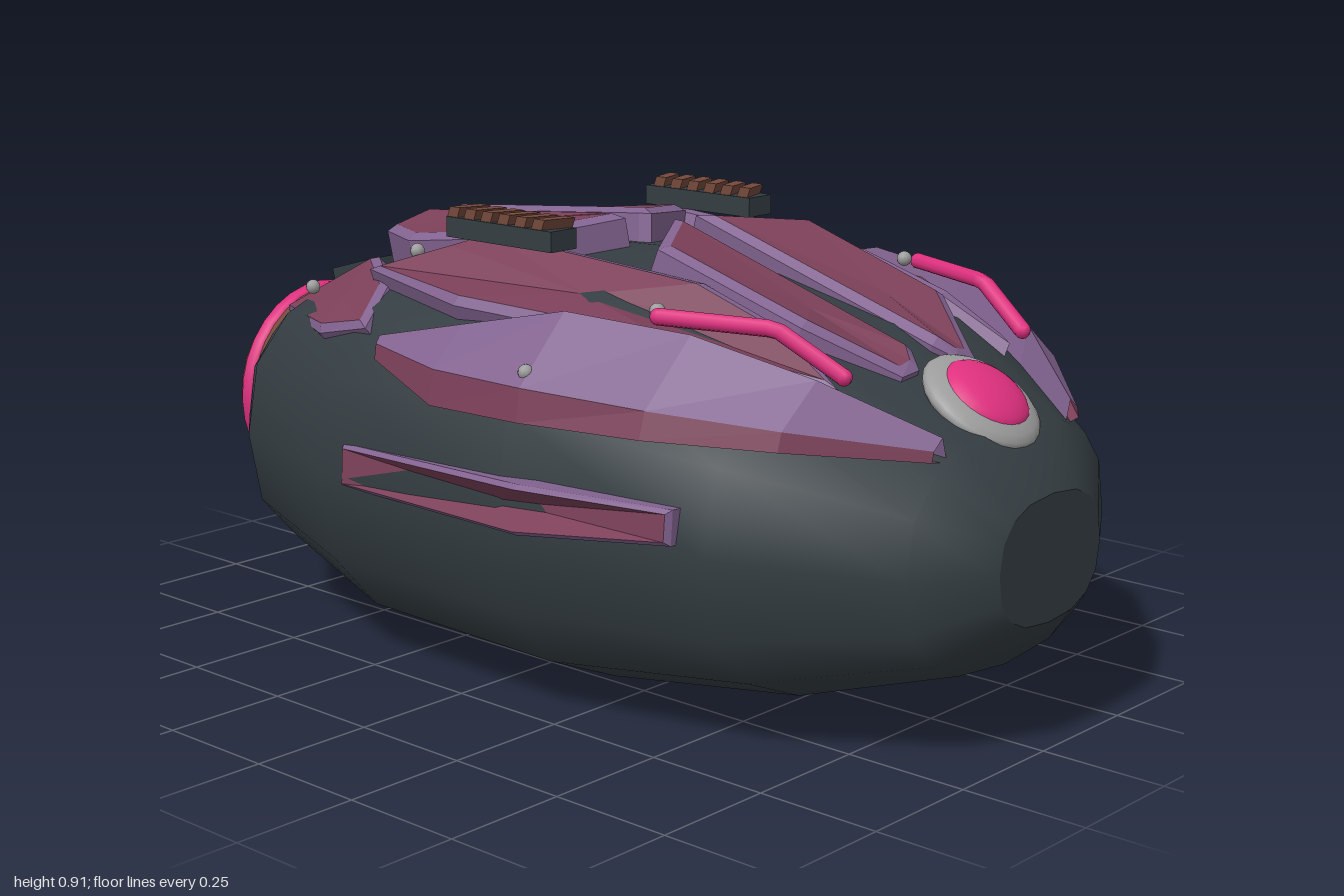
import * as THREE from 'three';

const mat = (name, color, side = THREE.FrontSide) => {
  const m = new THREE.MeshStandardMaterial({ color, side });
  m.name = name;
  return m;
};
const V = (p) => new THREE.Vector3(...p);

// Surface through rows of points; optional closed rows and smooth normals
function loft(rows, closed = false, smooth = false) {
  const n = rows[0].length, index = [];
  for (let r = 0; r < rows.length - 1; r++) {
    for (let c = 0; c < (closed ? n : n - 1); c++) {
      const d = (c + 1) % n, a = r * n + c, b = r * n + d;
      index.push(a, b, b + n, a, b + n, a + n);
    }
  }
  let g = new THREE.BufferGeometry();
  g.setAttribute('position', new THREE.Float32BufferAttribute(rows.flat().flatMap((v) => v.toArray()), 3));
  g.setIndex(index);
  if (!smooth) g = g.toNonIndexed();
  g.computeVertexNormals();
  return g;
}

// Centre point of a ring
const middle = (ring) => ring.reduce((s, p) => s.add(p), new THREE.Vector3()).divideScalar(ring.length);

// Flat fan that closes a ring of points
function fan(ring) {
  const mid = middle(ring);
  return loft([ring, ring.map(() => mid)], true);
}

// Copy a geometry to the other side, keeping faces outward
function mirrored(geometry) {
  const g = geometry.index ? geometry.toNonIndexed() : geometry.clone();
  for (const key of ['position', 'normal']) {
    const a = g.attributes[key], src = a.clone();
    for (let i = 0; i < a.count; i++) {
      const j = i % 3 === 0 ? i : i % 3 === 1 ? i + 1 : i - 1;
      a.setXYZ(i, src.getX(j), src.getY(j), -src.getZ(j));
    }
  }
  return g;
}

// Armour plate: side walls, bevel and an inset top face
function plateParts(points, thickness, inset) {
  const ring = points.map(V);
  const mid = middle(ring);
  const normal = new THREE.Vector3();
  ring.forEach((p, i) => {
    normal.add(p.clone().sub(mid).cross(ring[(i + 1) % ring.length].clone().sub(mid)));
  });
  normal.normalize();
  if (normal.dot(mid.clone().sub(V([mid.x, 0.4, 0]))) < 0) {
    ring.reverse();
    normal.negate();
  }
  const n = ring.length;
  const inward = (a, b) => normal.clone().cross(b.clone().sub(a)).normalize();
  const top = ring.map((p, i) => {
    const n1 = inward(ring[(i + n - 1) % n], p), n2 = inward(p, ring[(i + 1) % n]);
    const k = inset / Math.max(0.5, 1 + n1.dot(n2));
    return p.clone().addScaledVector(n1.add(n2), k);
  });
  const lowered = (d) => ring.map((p) => p.clone().addScaledVector(normal, -d));
  return { edge: loft([lowered(thickness), lowered(0.012), top], true), face: fan(top) };
}

export function createModel() {
  const hull = mat('charcoal hull', 0x343d42);
  const maroon = mat('maroon armour', 0x7c4059, THREE.DoubleSide);
  const purple = mat('purple trim', 0x826390, THREE.DoubleSide);
  const pink = mat('pink glow', 0xdf307f);
  const brown = mat('brown metal', 0x75493b, THREE.DoubleSide);
  const grey = mat('grey metal', 0x9c9c9c, THREE.DoubleSide);

  const model = new THREE.Group();
  model.name = 'armouredPod';
  const add = (name, geometry, material) => {
    const m = new THREE.Mesh(geometry, material);
    m.name = name;
    model.add(m);
    return m;
  };
  const addPair = (name, geometry, material) => {
    add(name + 'Left', geometry, material);
    add(name + 'Right', mirrored(geometry), material);
  };

  // Hull: 16-sided rounded sections [x, centre y, half height, half width]
  const sections = [
    [-0.88, 0.385, 0.215, 0.29], [-0.66, 0.405, 0.315, 0.47], [-0.31, 0.41, 0.402, 0.58],
    [0.2, 0.418, 0.413, 0.6], [0.62, 0.4, 0.34, 0.505], [0.91, 0.375, 0.225, 0.31], [1, 0.37, 0.12, 0.16],
  ];
  const pow = (v) => Math.sign(v) * Math.abs(v) ** 0.8;
  const rings = sections.map(([x, cy, hy, hz]) => Array.from({ length: 16 }, (_, i) => {
    const t = (i / 16) * Math.PI * 2;
    return V([x, cy + hy * pow(Math.cos(t)), hz * pow(Math.sin(t))]);
  }));
  add('hull', loft(rings, true, true), hull);
  add('noseCap', fan(rings[6]), hull);
  add('tailCap', fan([...rings[0]].reverse()), hull);
  const ridgeBar = add('rearRidge', new THREE.BoxGeometry(0.13, 0.03, 0.38), hull);
  ridgeBar.position.set(-0.64, 0.715, 0);
  ridgeBar.rotation.z = 0.28;

  // Exhaust: collar, glowing band and inner lip, turned about the x axis
  const turned = (name, pts, material) => {
    const g = new THREE.LatheGeometry(pts.map((p) => new THREE.Vector2(...p)), 32);
    add(name, g.rotateZ(Math.PI / 2).translate(0, 0.39, 0), material);
  };
  turned('exhaustCollar', [[0.23, 0.8], [0.23, 0.97], [0.215, 1]], brown);
  turned('exhaustBand', [[0.225, 0.94], [0.238, 0.945], [0.238, 0.97], [0.225, 0.975]], pink);
  turned('exhaustLip', [[0.215, 1], [0.185, 1], [0.16, 0.97], [0.15, 0.88]], grey);

  // Sensor eye on the sloping nose
  const eye = new THREE.Group();
  eye.name = 'sensorEye';
  eye.position.set(0.84, 0.63, 0);
  eye.rotation.z = -0.6;
  for (const [name, r, h, y, m] of [['eyeRim', 0.12, 0.035, 0, grey], ['eyeLens', 0.088, 0.035, 0.015, pink]]) {
    const s = new THREE.Mesh(new THREE.SphereGeometry(r, 24, 12), m);
    s.name = name;
    s.scale.y = h / r;
    s.position.y = y;
    eye.add(s);
  }
  model.add(eye);

  // Armour plates, each as an outline on the left side: name, thickness, inset, points
  const plates = [
    ['rearTopPlate', 0.09, 0.02, [[-0.57, 0.84, 0.03], [-0.57, 0.815, 0.155], [-0.4, 0.825, 0.25],
      [-0.08, 0.865, 0.24], [0.005, 0.89, 0.04], [-0.02, 0.89, 0.03]]],
    ['frontTopPlate', 0.09, 0.02, [[0.135, 0.9, 0.03], [0.265, 0.88, 0.225], [0.6, 0.775, 0.215],
      [0.75, 0.69, 0.11], [0.75, 0.695, 0.06], [0.71, 0.72, 0.03]]],
    ['shoulderPlate', 0.08, 0.018, [[-0.375, 0.785, 0.38], [-0.05, 0.765, 0.46], [0.42, 0.745, 0.41],
      [0.72, 0.69, 0.27], [0.58, 0.77, 0.24], [0.38, 0.83, 0.235], [-0.155, 0.865, 0.245], [-0.22, 0.84, 0.3]]],
    ['rearSidePlate', 0.07, 0.016, [[-0.765, 0.635, 0.275], [-0.43, 0.66, 0.475], [-0.27, 0.695, 0.495],
      [-0.33, 0.76, 0.375], [-0.465, 0.785, 0.28]]],
    ['sideStrip', 0.09, 0.008, [[-0.245, 0.39, 0.585], [0.28, 0.405, 0.635], [0.565, 0.42, 0.54],
      [0.565, 0.485, 0.535], [0.28, 0.498, 0.63], [-0.245, 0.475, 0.58]]],
  ];
  for (const [name, thickness, inset, pts] of plates) {
    const { edge, face } = plateParts(pts, thickness, inset);
    addPair(name + 'Edge', edge, purple);
    addPair(name + 'Face', face, maroon);
  }

  // Folded flank guard: bottom edge, fold and ridge along the hull
  const xs = [-0.2, 0.02, 0.25, 0.5, 0.72, 0.9];
  const row = (yz) => yz.map(([y, z], i) => V([xs[i], y, z]));
  const bottom = row([[0.64, 0.525], [0.595, 0.588], [0.6, 0.592], [0.6, 0.54], [0.595, 0.43], [0.57, 0.23]]);
  const fold = row([[0.67, 0.52], [0.662, 0.578], [0.662, 0.582], [0.65, 0.525], [0.63, 0.42], [0.59, 0.225]]);
  const ridge = row([[0.685, 0.51], [0.735, 0.5], [0.785, 0.465], [0.767, 0.405], [0.705, 0.325], [0.61, 0.2]]);
  const inner = ridge.map((p) => V([p.x, p.y - 0.1, p.z - 0.03]));
  const under = bottom.map((p) => V([p.x, p.y - 0.01, p.z - 0.08]));
  addPair('flankGuardSkirt', loft([under, bottom, fold]), maroon);
  addPair('flankGuardTop', loft([fold, ridge, inner]), purple);

  // Bent glowing rods
  const rod = new THREE.CurvePath();
  const bends = [[0.41, 0.785, 0.39], [0.62, 0.78, 0.315], [0.74, 0.705, 0.275]].map(V);
  rod.add(new THREE.LineCurve3(bends[0], bends[1]));
  rod.add(new THREE.LineCurve3(bends[1], bends[2]));
  addPair('glowRod', new THREE.TubeGeometry(rod, 16, 0.016, 8), pink);
  for (const p of [bends[0], bends[2]]) {
    addPair('rodEnd', new THREE.SphereGeometry(0.016, 8, 6).translate(p.x, p.y, p.z), pink);
  }

  // Vent rails with slanted ribs
  addPair('ventBase', new THREE.BoxGeometry(0.285, 0.04, 0.07).translate(-0.0625, 0.873, 0.29), hull);
  for (let i = 0; i < 6; i++) {
    const rib = new THREE.BoxGeometry(0.028, 0.022, 0.064);
    const p = rib.attributes.position;
    for (let k = 0; k < p.count; k++) p.setX(k, p.getX(k) - p.getZ(k) * 0.3 + p.getY(k) * 0.4);
    rib.computeVertexNormals();
    addPair('ventRib', rib.translate(-0.178 + i * 0.046, 0.902, 0.29), brown);
  }

  // Rivets
  const rivets = [[-0.6, 0.705, 0.335], [-0.29, 0.815, 0.325], [0.39, 0.79, 0.37], [0.24, 0.685, 0.555]];
  for (const p of rivets) addPair('rivet', new THREE.SphereGeometry(0.015, 10, 8).translate(...p), grey);
  add('collarRivet', new THREE.SphereGeometry(0.012, 10, 8).translate(-0.8, 0.63, 0), grey);

  return model;
}
